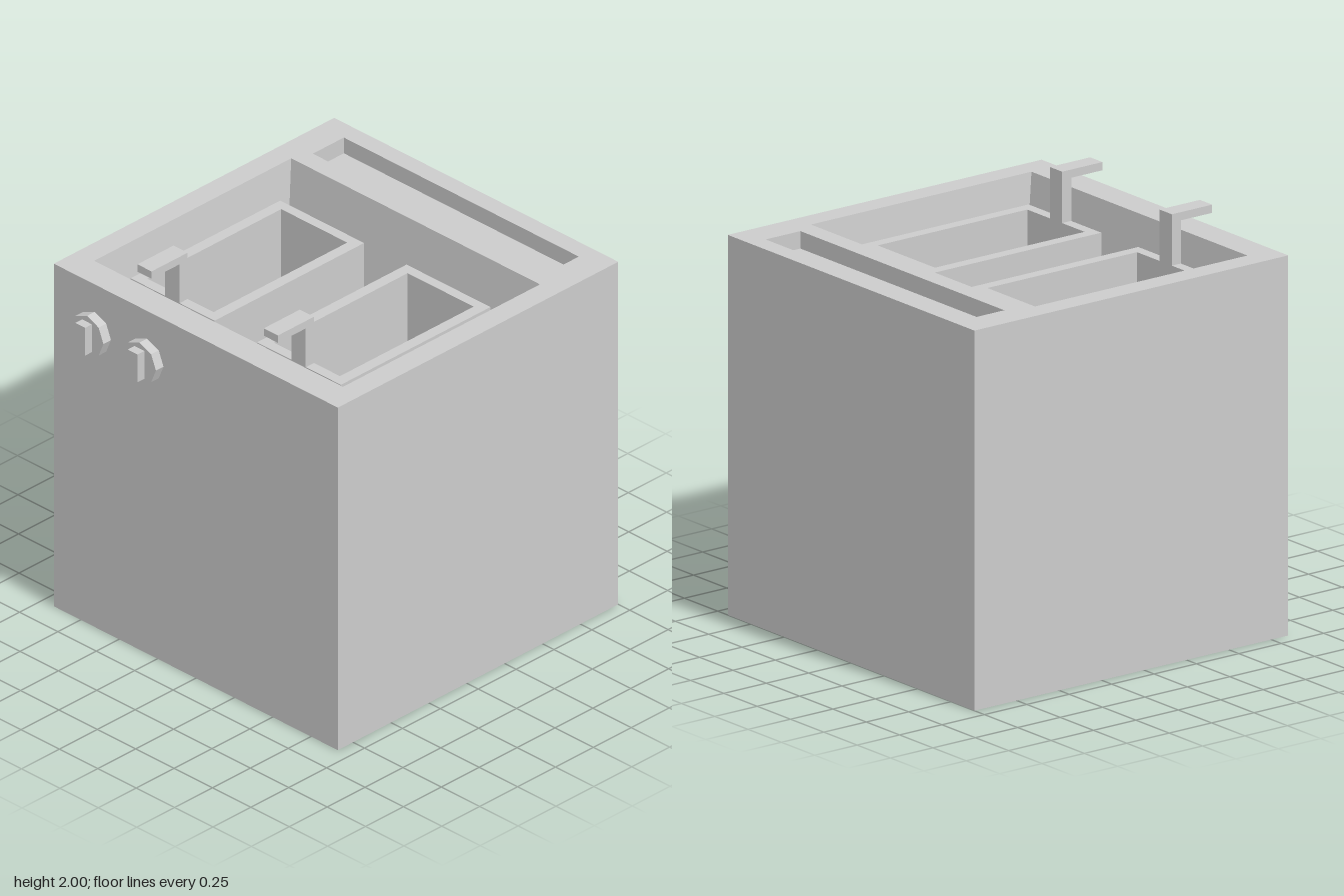
import * as THREE from 'three';

const material = new THREE.MeshStandardMaterial({ color: 0xcccccc, flatShading: true });

function mesh(name, geometry, x = 0, y = 0, z = 0) {
  const m = new THREE.Mesh(geometry, material);
  m.name = name;
  m.position.set(x, y, z);
  return m;
}

// Box given by its limits on each axis
function block(name, x0, x1, y0, y1, z0, z1) {
  return mesh(name, new THREE.BoxGeometry(x1 - x0, y1 - y0, z1 - z0),
    (x0 + x1) / 2, (y0 + y1) / 2, (z0 + z1) / 2);
}

// Skin over a chain of rectangles {x0, x1, z0, z1} at height y.
// Rising rings face outward, sinking rings face inward.
function rectLoft(rings, capStart, capEnd) {
  const loops = rings.map(([r, y]) => [
    [r.x0, y, r.z1], [r.x1, y, r.z1], [r.x1, y, r.z0], [r.x0, y, r.z0],
  ]);
  const positions = [];
  const quad = (a, b, c, d) => positions.push(...a, ...b, ...c, ...a, ...c, ...d);
  for (let i = 0; i + 1 < loops.length; i++) {
    for (let k = 0; k < 4; k++) {
      const n = (k + 1) % 4;
      quad(loops[i][k], loops[i][n], loops[i + 1][n], loops[i + 1][k]);
    }
  }
  if (capStart) quad(...[...loops[0]].reverse());
  if (capEnd) quad(...loops[loops.length - 1]);
  const geometry = new THREE.BufferGeometry();
  geometry.setAttribute('position', new THREE.Float32BufferAttribute(positions, 3));
  geometry.computeVertexNormals();
  return geometry;
}

const rect = (x0, x1, z0, z1) => ({ x0, x1, z0, z1 });

function outline(r, Type) {
  return new Type([[r.x0, r.z0], [r.x1, r.z0], [r.x1, r.z1], [r.x0, r.z1]]
    .map(([x, z]) => new THREE.Vector2(x, -z)));
}

// Wire-basket style tub with an L-shaped handle on its front rim
function createBasket(name, x) {
  const basket = new THREE.Group();
  basket.name = name;
  basket.position.x = x;
  const outer = rect(-0.273, 0.273, -0.412, 0.575);
  const inner = rect(-0.215, 0.215, -0.36, 0.522);
  basket.add(
    mesh('basketTub', rectLoft([[outer, 1.15], [outer, 1.75], [inner, 1.75], [inner, 1.21]], true, true)),
    block('handlePost', -0.046, 0.046, 1.75, 1.96, 0.522, 0.577),
    block('handleGrip', -0.046, 0.046, 1.96, 2, 0.522, 0.76),
  );
  return basket;
}

// Eight-sided control knob with a raised grip
function createKnob(name, x) {
  const knob = new THREE.Group();
  knob.name = name;
  knob.position.set(x, 1.64, 0);
  const disc = new THREE.CylinderGeometry(0.107, 0.107, 0.05, 8).rotateX(Math.PI / 2);
  knob.add(
    mesh('knobDisc', disc, 0, 0, 0.93),
    block('knobGrip', -0.032, 0.032, -0.075, 0.075, 0.955, 1),
  );
  return knob;
}

export function createModel() {
  const model = new THREE.Group();
  model.name = 'doubleDeepFryer';

  const top = 1.85;
  const cabinet = rect(-0.925, 0.925, -1, 0.85);
  const basinRim = rect(-0.81, 0.81, -0.6, 0.7);
  const basinFloor = rect(-0.73, 0.73, -0.48, 0.58);
  const slot = rect(-0.768, 0.762, -0.905, -0.7);

  // Cabinet sides and base
  model.add(mesh('cabinet', rectLoft([[cabinet, 0], [cabinet, top]], true, false)));

  // Worktop with openings for the basin and rear slot
  const plate = outline(cabinet, THREE.Shape);
  plate.holes.push(outline(basinRim, THREE.Path), outline(slot, THREE.Path));
  model.add(mesh('worktop', new THREE.ShapeGeometry(plate).rotateX(-Math.PI / 2), 0, top, 0));

  // Tapered oil basin and shallow rear slot
  model.add(mesh('oilBasin', rectLoft([[basinRim, top], [basinFloor, 1.05]], false, true)));
  model.add(mesh('rearSlot', rectLoft([[slot, top], [slot, top - 0.085]], false, true)));

  // Baskets and controls
  model.add(createBasket('rightBasket', -0.423), createBasket('leftBasket', 0.4));
  model.add(createKnob('outerKnob', -0.605), createKnob('innerKnob', -0.263));

  return model;
}
